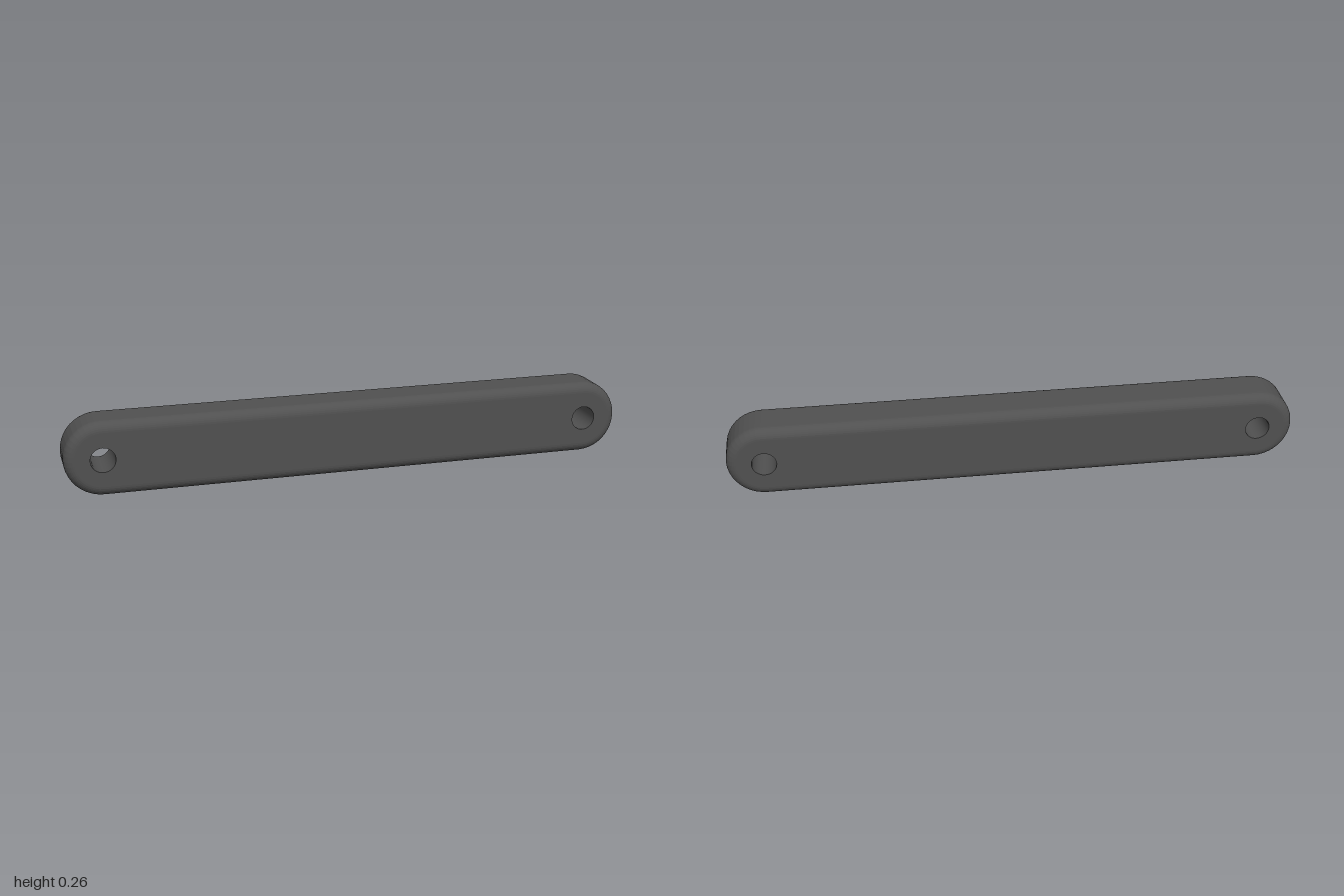
import * as THREE from 'three';

const R = 0.13;        // end radius (half height)
const CX = 1 - R;      // centre of each rounded end
const HZ = 0.087;      // half thickness
const FILLET = 0.035;  // edge rounding
const HOLE = 0.043;    // pin hole radius
const ARC = 20, FILLET_STEPS = 8, HOLE_SIDES = 32;

// Stadium outline of a given end radius, counter-clockwise seen from +z
function outline(r) {
  const pts = [];
  for (const side of [1, -1]) {
    for (let i = 0; i <= ARC; i++) {
      const a = -Math.PI / 2 + (Math.PI * i) / ARC;
      pts.push(new THREE.Vector2(side * (CX + r * Math.cos(a)), side * r * Math.sin(a)));
    }
  }
  return pts;
}

// Outer wall with rounded edges, swept from back to front
function rimGeometry() {
  const loops = [];
  for (const side of [-1, 1]) {
    for (let k = 0; k <= FILLET_STEPS; k++) {
      const t = side < 0 ? k : FILLET_STEPS - k;
      const a = (Math.PI / 2) * (t / FILLET_STEPS);
      const z = side * (HZ - FILLET + FILLET * Math.cos(a));
      loops.push(outline(R - FILLET + FILLET * Math.sin(a)).map(p => [p.x, p.y, z]));
    }
  }
  const n = loops[0].length, index = [];
  for (let j = 0; j < loops.length - 1; j++) {
    for (let i = 0; i < n; i++) {
      const a = j * n + i, b = j * n + ((i + 1) % n);
      index.push(a, b, b + n, a, b + n, a + n);
    }
  }
  const geo = new THREE.BufferGeometry();
  geo.setAttribute('position', new THREE.Float32BufferAttribute(loops.flat(2), 3));
  geo.setIndex(index);
  geo.computeVertexNormals();
  return geo;
}

export function createModel() {
  const group = new THREE.Group();
  group.name = 'linkBar';
  const material = new THREE.MeshStandardMaterial({ color: 0x505050, flatShading: true });
  const boreMaterial = new THREE.MeshStandardMaterial({ color: 0x505050, side: THREE.DoubleSide });

  const add = (name, geo, mat = material) => {
    const mesh = new THREE.Mesh(geo, mat);
    mesh.name = name;
    mesh.position.y = R;
    group.add(mesh);
    return mesh;
  };

  add('roundedRim', rimGeometry());

  // Flat faces with a pin hole at each end
  const face = new THREE.Shape(outline(R - FILLET));
  for (const s of [-1, 1]) {
    const hole = new THREE.Path();
    hole.absarc(s * CX, 0, HOLE, 0, Math.PI * 2, true);
    face.holes.push(hole);
  }
  const faceGeo = new THREE.ShapeGeometry(face, HOLE_SIDES / 2);
  add('frontFace', faceGeo).position.z = HZ;
  const back = add('backFace', faceGeo);
  back.position.z = -HZ;
  back.rotation.y = Math.PI;

  // Walls of the through holes
  const boreGeo = new THREE.CylinderGeometry(HOLE, HOLE, 2 * HZ, HOLE_SIDES, 1, true);
  boreGeo.rotateX(Math.PI / 2);
  for (const s of [-1, 1]) {
    add(s > 0 ? 'leftHole' : 'rightHole', boreGeo, boreMaterial).position.x = s * CX;
  }

  return group;
}
